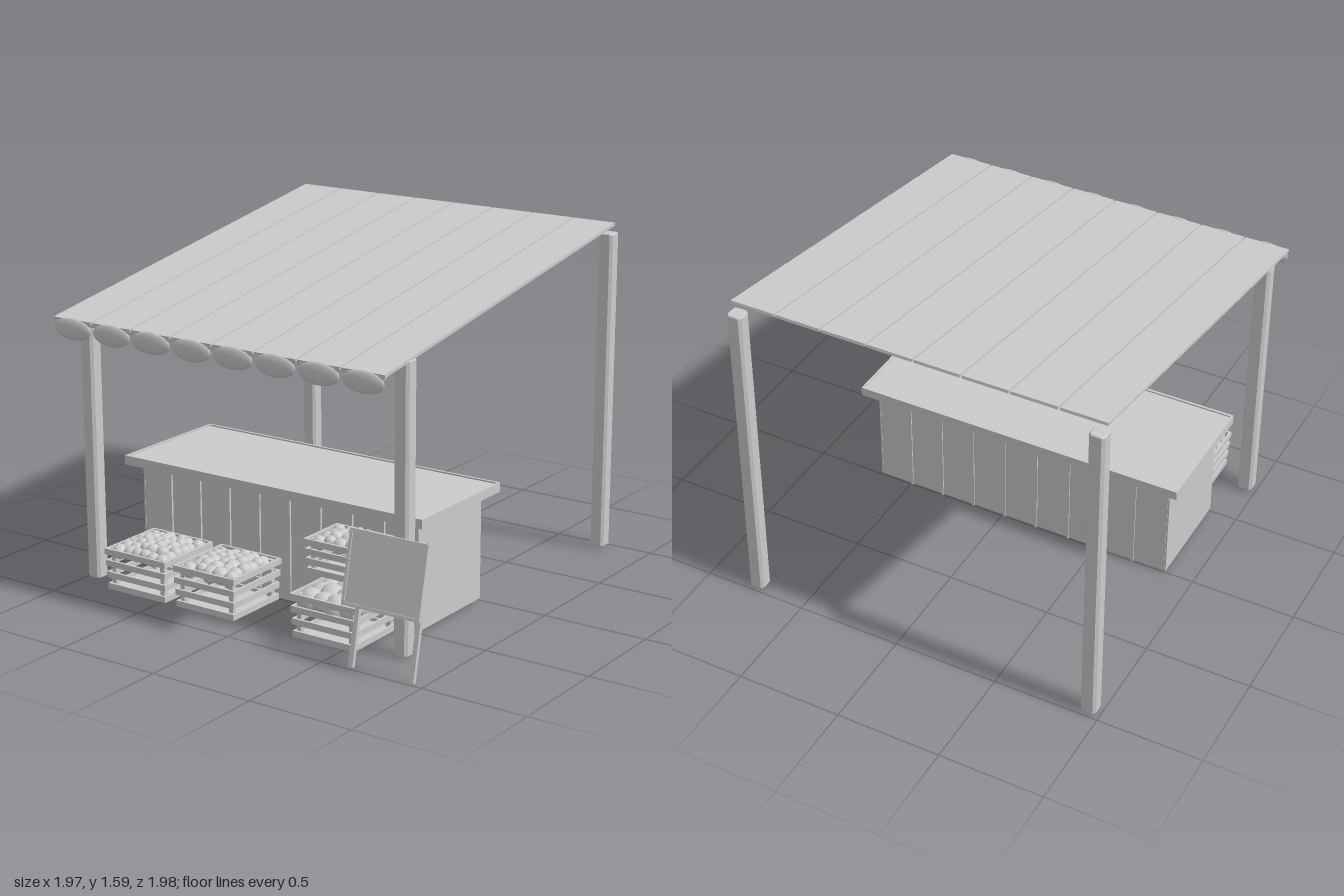
import * as THREE from 'three';

const grey = new THREE.MeshStandardMaterial({ color: 0xcccccc, side: THREE.DoubleSide });
const flat = new THREE.MeshStandardMaterial({ color: 0xcccccc, flatShading: true });

function add(parent, geometry, name, x, y, z, material = grey) {
  const mesh = new THREE.Mesh(geometry, material);
  mesh.name = name;
  mesh.position.set(x, y, z);
  parent.add(mesh);
  return mesh;
}

// Box given by its minimum and maximum corners
function span(parent, name, x0, x1, y0, y1, z0, z1) {
  return add(parent, new THREE.BoxGeometry(x1 - x0, y1 - y0, z1 - z0), name,
    (x0 + x1) / 2, (y0 + y1) / 2, (z0 + z1) / 2);
}

function group(parent, name) {
  const g = new THREE.Group();
  g.name = name;
  parent.add(g);
  return g;
}

function seeded(seed) {
  return () => (seed = (seed * 16807) % 2147483647) / 2147483647;
}

// Upright timber with chamfered corners
function post(parent, name, x, z, y0, y1) {
  const h = 0.036, c = 0.024;
  const shape = new THREE.Shape([[h, -c], [h, c], [c, h], [-c, h], [-h, c], [-h, -c], [-c, -h], [c, -h]]
    .map(([a, b]) => new THREE.Vector2(a, b)));
  const geometry = new THREE.ExtrudeGeometry(shape, {
    depth: y1 - y0 - 0.01, bevelEnabled: true, bevelThickness: 0.005, bevelSize: 0.004, bevelOffset: -0.004, bevelSegments: 1,
  });
  geometry.rotateX(-Math.PI / 2);
  add(parent, geometry, name, x, y0 + 0.005, z, flat);
}

// Sloping roof of eight panels with a scalloped valance
function roof(parent) {
  const g = group(parent, 'roof');
  const rise = 0.31, run = 1.9, pitch = 0.2215;
  for (let i = 0; i < 8; i++) {
    const x = -0.985 + pitch * (i + 0.5) - 0.001;
    const panel = add(g, new THREE.BoxGeometry(pitch - 0.008, 0.014, Math.hypot(rise, run)), 'roofPanel', x, 1.432, 0);
    panel.rotation.x = Math.atan2(rise, run);
    const scallop = add(g, new THREE.SphereGeometry(1, 20, 12), 'valanceScallop', x, 1.24, 0.948);
    scallop.scale.set(0.105, 0.05, 0.016);
  }
  span(g, 'valanceRail', -0.98, 0.78, 1.262, 1.275, 0.938, 0.95);
}

// Planked counter with an overhanging rimmed top
function counter(parent) {
  const g = group(parent, 'counter');
  span(g, 'counterCore', -0.855, 0.655, 0.02, 0.485, 0.01, 0.5);
  const n = 9, w = 1.52 / n;
  for (let i = 0; i < n; i++) {
    const x0 = -0.86 + i * w + 0.006, x1 = x0 + w - 0.012;
    span(g, 'frontPlank', x0, x1, 0.015, 0.495, 0.5, 0.51);
    span(g, 'backPlank', x0, x1, 0.015, 0.495, 0, 0.01);
    span(g, 'floorPlank', x0, x1, 0.012, 0.02, 0.01, 0.5);
    if (i > 0) span(g, 'backBatten', x0 - 0.012, x0, 0.01, 0.495, -0.006, 0.008);
  }
  for (const [x0, x1] of [[-0.862, -0.855], [0.655, 0.662]]) span(g, 'sidePanel', x0, x1, 0.015, 0.495, 0, 0.51);
  span(g, 'counterTop', -0.91, 0.71, 0.525, 0.55, -0.05, 0.56);
  for (const [z0, z1] of [[-0.062, -0.05], [0.56, 0.572]]) span(g, 'topRimLong', -0.92, 0.72, 0.513, 0.557, z0, z1);
  for (const [x0, x1] of [[-0.92, -0.91], [0.71, 0.72]]) span(g, 'topRimShort', x0, x1, 0.513, 0.557, -0.05, 0.56);
}

// Slatted crate heaped with produce
function crate(parent, x, y, z, w, d, h, size, seed) {
  const g = group(parent, 'crate');
  g.position.set(x, y, z);
  const t = 0.012, rows = 4, slat = 0.028;
  span(g, 'crateFloor', -w / 2 + t, w / 2 - t, 0, 0.012, -d / 2 + t, d / 2 - t);
  for (let i = 0; i < rows; i++) {
    const y0 = i * (h - slat) / (rows - 1), grow = i * 0.003;
    const a = w / 2 - 0.009 + grow, b = d / 2 - 0.009 + grow;
    for (const s of [-1, 1]) {
      add(g, new THREE.BoxGeometry(2 * a, slat, t), 'longSlat', 0, y0 + slat / 2, s * (b - t / 2));
      add(g, new THREE.BoxGeometry(t, slat, 2 * b), 'sideSlat', s * (a - t / 2), y0 + slat / 2, 0);
    }
  }
  for (const sx of [-1, 1]) for (const sz of [-1, 1]) {
    add(g, new THREE.BoxGeometry(0.022, h - 0.005, 0.022), 'cornerPost',
      sx * (w / 2 - 0.034), h / 2, sz * (d / 2 - 0.034));
  }
  // Produce laid out in a jittered heap
  const rnd = seeded(seed);
  const nx = Math.round((w - 0.06) / (size * 1.45)), nz = Math.round((d - 0.06) / (size * 1.45));
  for (let i = 0; i < nx; i++) for (let k = 0; k < nz; k++) {
    const u = (i + 0.5) / nx - 0.5, v = (k + 0.5) / nz - 0.5;
    const r = size * (0.85 + rnd() * 0.3);
    const top = h + 0.022 + rnd() * 0.012 - (u * u + v * v) * 0.05;
    const fruit = add(g, new THREE.SphereGeometry(r, 10, 8), 'produce',
      u * (w - 0.06) + (rnd() - 0.5) * 0.015, top - r, v * (d - 0.06) + (rnd() - 0.5) * 0.015);
    fruit.scale.set(1.05, 0.9, 1);
    fruit.rotation.set(rnd(), rnd() * 3, rnd());
  }
}

// Leaning notice board on two legs
function sign(parent) {
  const g = group(parent, 'noticeBoard');
  for (const x of [0.638, 0.942]) {
    const leg = add(g, new THREE.BoxGeometry(0.022, 0.585, 0.018), 'boardLeg', x, 0.294, 0.92);
    leg.rotation.x = -0.205;
  }
  const board = group(g, 'board');
  board.position.set(0.788, 0.44, 0.953);
  board.rotation.x = -0.215;
  span(board, 'panel', -0.18, 0.18, -0.15, 0.15, -0.004, 0.002);
  for (const s of [-1, 1]) {
    add(board, new THREE.BoxGeometry(0.386, 0.014, 0.014), 'frameRail', 0, s * 0.155, 0);
    add(board, new THREE.BoxGeometry(0.014, 0.31, 0.014), 'frameStile', s * 0.186, 0, 0);
    add(board, new THREE.BoxGeometry(0.016, 0.016, 0.06), 'boardPeg', s * 0.152, 0.08, -0.03);
  }
}

export function createModel() {
  const model = new THREE.Group();
  model.name = 'marketStall';
  for (const x of [-0.948, 0.75]) {
    post(model, 'frontPost', x, 0.75, 0.015, 1.305);
    post(model, 'backPost', x, -0.953, 0.015, 1.543);
  }
  roof(model);
  counter(model);
  crate(model, -0.63, 0.015, 0.69, 0.35, 0.35, 0.195, 0.034, 11);
  crate(model, -0.237, 0.015, 0.69, 0.34, 0.35, 0.195, 0.036, 23);
  crate(model, 0.405, 0.015, 0.69, 0.34, 0.35, 0.2, 0.055, 37);
  crate(model, 0.398, 0.275, 0.64, 0.32, 0.25, 0.16, 0.034, 53);
  sign(model);
  return model;
}
